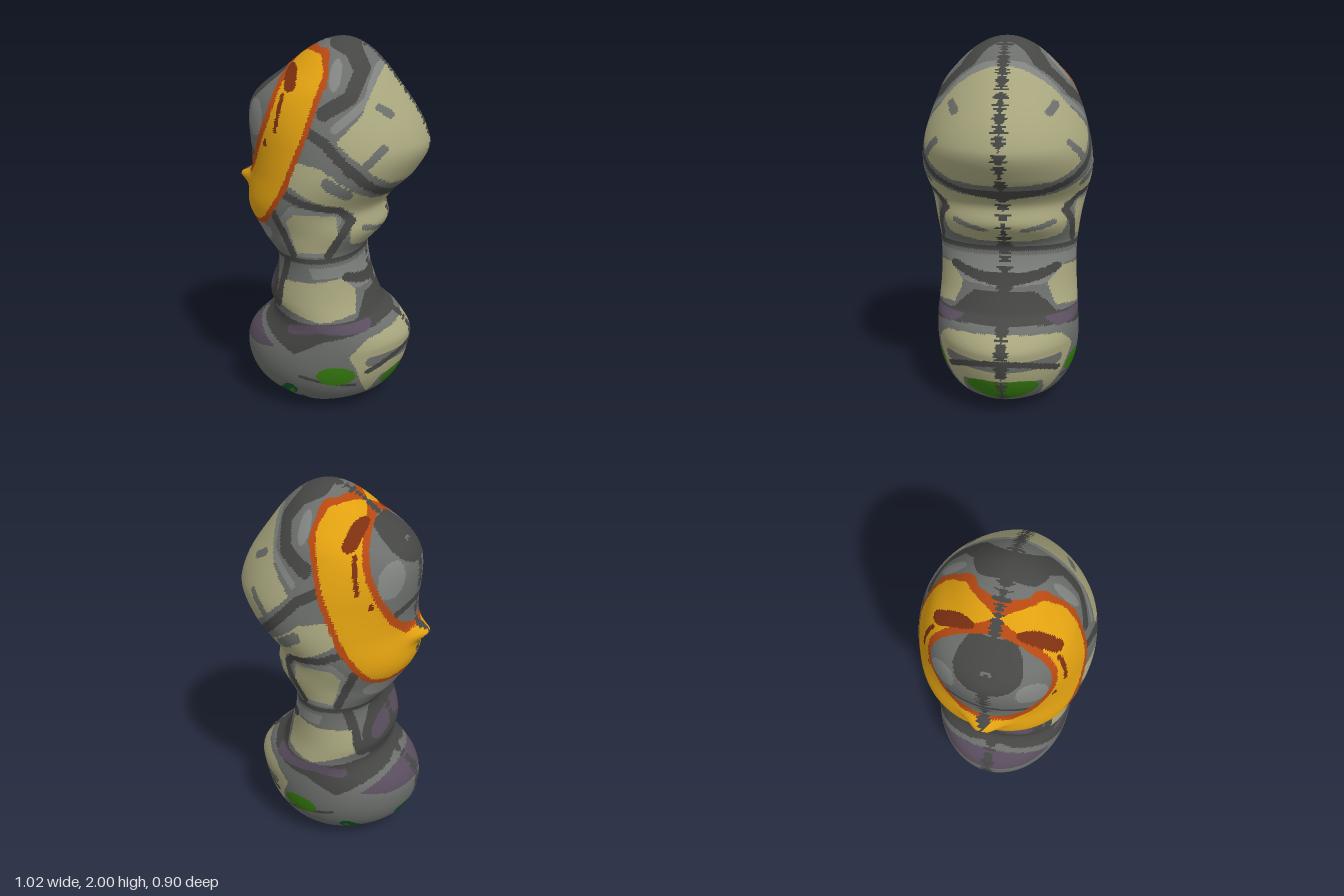
import * as THREE from 'three';

const paint = (name, color) => {
  const m = new THREE.MeshStandardMaterial({ color });
  m.name = name;
  return m;
};
const MATERIALS = [
  paint('midGrey', 0x6c6f6b), paint('darkGrey', 0x464645), paint('paleGrey', 0x818481),
  paint('tan', 0xaaa87f), paint('yellow', 0xe0a010), paint('orange', 0xb54812),
  paint('rust', 0x7c3010), paint('green', 0x367c10), paint('deepGreen', 0x0d5530),
  paint('purple', 0x5a4e5e),
];
const [GREY, DARK, PALE, TAN, YELLOW, ORANGE, RUST, GREEN, DEEP, PURPLE] = MATERIALS.keys();

// Outlines: height, value
const LEFT = [[0, -.03], [.02, -.18], [.07, -.335], [.15, -.435], [.29, -.485], [.41, -.46], [.55, -.325],
  [.66, -.337], [.88, -.28], [1, -.37], [1.14, -.45], [1.34, -.43], [1.68, -.43], [1.86, -.23], [2, .05]];
const RIGHT = [[0, -.03], [.03, .125], [.1, .31], [.39, .432], [.5, .37], [.57, .275], [.9, .178],
  [1.05, .29], [1.17, .29], [1.33, .44], [1.49, .505], [1.8, .325], [2, .05]];
const DEPTH = [[0, 0], [.025, .19], [.095, .3], [.23, .375], [.4, .394], [.81, .372], [1.02, .39],
  [1.365, .45], [1.735, .35], [1.87, .245], [2, 0]];

// Smooth interpolation over an angle that rounds off both ends
function smoothTable(table) {
  const k = table.map(([y, v]) => [Math.acos(1 - y) / Math.PI, v]);
  const slope = i => {
    const a = k[Math.max(i - 1, 0)], b = k[Math.min(i + 1, k.length - 1)];
    return (b[1] - a[1]) / (b[0] - a[0]);
  };
  return t => {
    let i = 0;
    while (i < k.length - 2 && t > k[i + 1][0]) i++;
    const h = k[i + 1][0] - k[i][0], s = (t - k[i][0]) / h, s2 = s * s, s3 = s2 * s;
    return (2 * s3 - 3 * s2 + 1) * k[i][1] + (s3 - 2 * s2 + s) * h * slope(i)
      + (3 * s2 - 2 * s3) * k[i + 1][1] + (s3 - s2) * h * slope(i + 1);
  };
}

// Painted marks in hundredths: each tells whether x, y lies inside it
const blob = (color, cx, cy, rx, ry) => ({
  color, has: (x, y) => Math.hypot((x - cx) / rx, (y - cy) / ry) < 1,
});
const line = (color, width, ...p) => ({
  color,
  has: (x, y) => {
    for (let i = 0; i + 3 < p.length; i += 2) {
      const dx = p[i + 2] - p[i], dy = p[i + 3] - p[i + 1], ex = x - p[i], ey = y - p[i + 1];
      const s = THREE.MathUtils.clamp((ex * dx + ey * dy) / (dx * dx + dy * dy), 0, 1);
      if (Math.hypot(ex - s * dx, ey - s * dy) < width / 2) return true;
    }
    return false;
  },
});
const area = (color, ...p) => ({
  color,
  has: (x, y) => {
    let odd = false;
    for (let i = 0, n = p.length; i < n; i += 2) {
      const ax = p[i], ay = p[i + 1], bx = p[(i + 2) % n], by = p[(i + 3) % n];
      if ((ay > y) !== (by > y) && x < ax + (y - ay) / (by - ay) * (bx - ax)) odd = !odd;
    }
    return odd;
  },
});

const HEAD = [
  blob(PALE, -36, 161, 5, 9),
  line(DARK, 3, -44, 167, -24, 185), line(DARK, 3, -46, 147, -38, 142),
  line(DARK, 7, 3, 199, 12, 195, 18, 186, 14, 174, 2, 167),
  blob(PALE, 6, 184, 3, 7),
  line(PALE, 4, 25, 187, 22, 172, 8, 160),
  area(TAN, 27, 187, 20, 166, 9, 154, 34, 131, 60, 126, 60, 165),
  line(GREY, 4, 23, 142, 31, 150), line(GREY, 3, 27, 169, 33, 165),
];
const CHEST = [
  area(TAN, -17, 133, -11, 144, 3, 141, 26, 123, 45, 118, 26, 92, 14, 99, 16, 116, -7, 127),
  line(GREY, 6, 5, 134, 14, 128), line(GREY, 3, 21, 107, 26, 104),
  line(DARK, 5, -7, 159, 4, 153, 32, 124, 46, 124),
  blob(PALE, -34, 103, 8, 5),
  area(PALE, -21, 113, -14, 121, 12, 119, 5, 93, -13, 93),
  area(TAN, -17, 112, -12, 117, 8, 116, 9, 105, 4, 96, -12, 95),
  line(DARK, 4, -22, 129, -8, 123, 10, 119, 15, 112, 4, 94),
  line(DARK, 4, -25, 119, -14, 94),
];
const WAIST = [
  line(DARK, 3, -30, 91, 20, 91),
  area(PALE, -6, 87, 24, 87, 30, 68, 16, 72, 8, 81, -4, 81),
  line(DARK, 9, -30, 87, -29, 74, -32, 58),
  blob(PURPLE, -31, 74, 3, 7),
  line(DARK, 4, -18, 89, -25, 62),
  area(TAN, -20, 78, 10, 80, 16, 72, 17, 60, 0, 57, -22, 63),
  line(DARK, 4, 12, 80, 22, 73),
  area(DARK, 20, 68, 40, 70, 38, 54, 2, 47, -14, 38, -36, 49, -34, 59, -10, 56, 18, 57),
  line(PURPLE, 5, -16, 51, -2, 54, 22, 53),
  area(PURPLE, -55, 43, -42, 49, -26, 39, -38, 36, -55, 36),
];
const BASE = [
  area(TAN, 15, 38, 24, 47, 50, 52, 52, 24, 30, 22, 22, 10, 19, 28),
  line(GREY, 6, 26, 33, 44, 33),
  line(DARK, 3, 24, 27, 48, 38), line(DARK, 2, -11, 25, 17, 19),
  blob(GREEN, 8, 26, 10, 6), blob(GREEN, 40, 16, 11, 8), blob(GREEN, 1, 3, 5, 3),
  line(DEEP, 8, -18, 14, -25, 4), line(GREEN, 3, -17, 13, -20, 4),
  line(DEEP, 4, -12, 7, -6, 2), blob(DEEP, -46, 14, 6, 8),
];
// Bright band: the same path painted wide in orange, then narrower in yellow
const CREST_PATH = [-10, 184, -17, 160, -28, 133, -37, 119, -52, 122];
const CREST = [
  line(ORANGE, 25, ...CREST_PATH), line(ORANGE, 7, -14, 191, -2, 192, -1, 180),
  line(YELLOW, 19.5, ...CREST_PATH), line(YELLOW, 6, -15, 188, -5, 190, -5, 178),
  line(RUST, 7, -18, 184, -17, 179), line(RUST, 2, -20, 174, -23, 157), blob(RUST, -29, 150, 1, 2),
];
const PAINT = [HEAD, CHEST, WAIST, BASE, CREST].flat();

function colorAt(x, y, z, row) {
  // ragged dark seam down both sides
  const ragged = Math.abs(Math.sin(row * 12.9898) * 43758.5453) % 1;
  if (Math.abs(z) < 0.045 * ragged) return DARK;
  return PAINT.findLast(mark => mark.has(x * 100, y * 100))?.color ?? GREY;
}

export function createModel() {
  const ROWS = 280, AROUND = 200;
  const left = smoothTable(LEFT), right = smoothTable(RIGHT), depth = smoothTable(DEPTH);
  const pos = [];

  // stacked cross-sections: pointed at the head, fuller at the waist, with a small spike on one edge
  for (let r = 0; r <= ROWS; r++) {
    const t = r / ROWS, y = 1 - Math.cos(Math.PI * t);
    const l = left(t), w = (right(t) - l) / 2, d = depth(t);
    const spike = 0.07 * Math.exp(-(((y - 1.26) / 0.037) ** 2));
    const full = 0.3 * Math.exp(-(((y - 0.85) / 0.25) ** 2));
    for (let i = 0; i < AROUND; i++) {
      const a = i / AROUND * Math.PI * 2, s = Math.sin(a), c = Math.cos(a);
      const z = d * Math.sign(s) * Math.abs(s) ** (1.1 + 0.08 * c - full);
      const tip = c < 0 ? spike * Math.exp(-((z / 0.09) ** 2)) : 0;
      pos.push(l + w + w * c - tip, y, z);
    }
  }

  // sort the faces by paint colour
  const buckets = MATERIALS.map(() => []);
  for (let r = 0; r < ROWS; r++) for (let i = 0; i < AROUND; i++) {
    const a = r * AROUND + i, b = r * AROUND + (i + 1) % AROUND, c = a + AROUND, d = b + AROUND;
    for (const tri of [[a, c, b], [b, c, d]]) {
      const mid = k => tri.reduce((sum, v) => sum + pos[v * 3 + k], 0) / 3;
      buckets[colorAt(mid(0), mid(1), mid(2), r)].push(...tri);
    }
  }

  const geometry = new THREE.BufferGeometry();
  geometry.setAttribute('position', new THREE.Float32BufferAttribute(pos, 3));
  geometry.setIndex(buckets.flat());
  let start = 0;
  buckets.forEach((b, m) => {
    geometry.addGroup(start, b.length, m);
    start += b.length;
  });
  geometry.computeVertexNormals();

  const body = new THREE.Mesh(geometry, MATERIALS);
  body.name = 'paintedStoneBody';
  const group = new THREE.Group();
  group.name = 'stoneFigure';
  group.add(body);
  return group;
}
